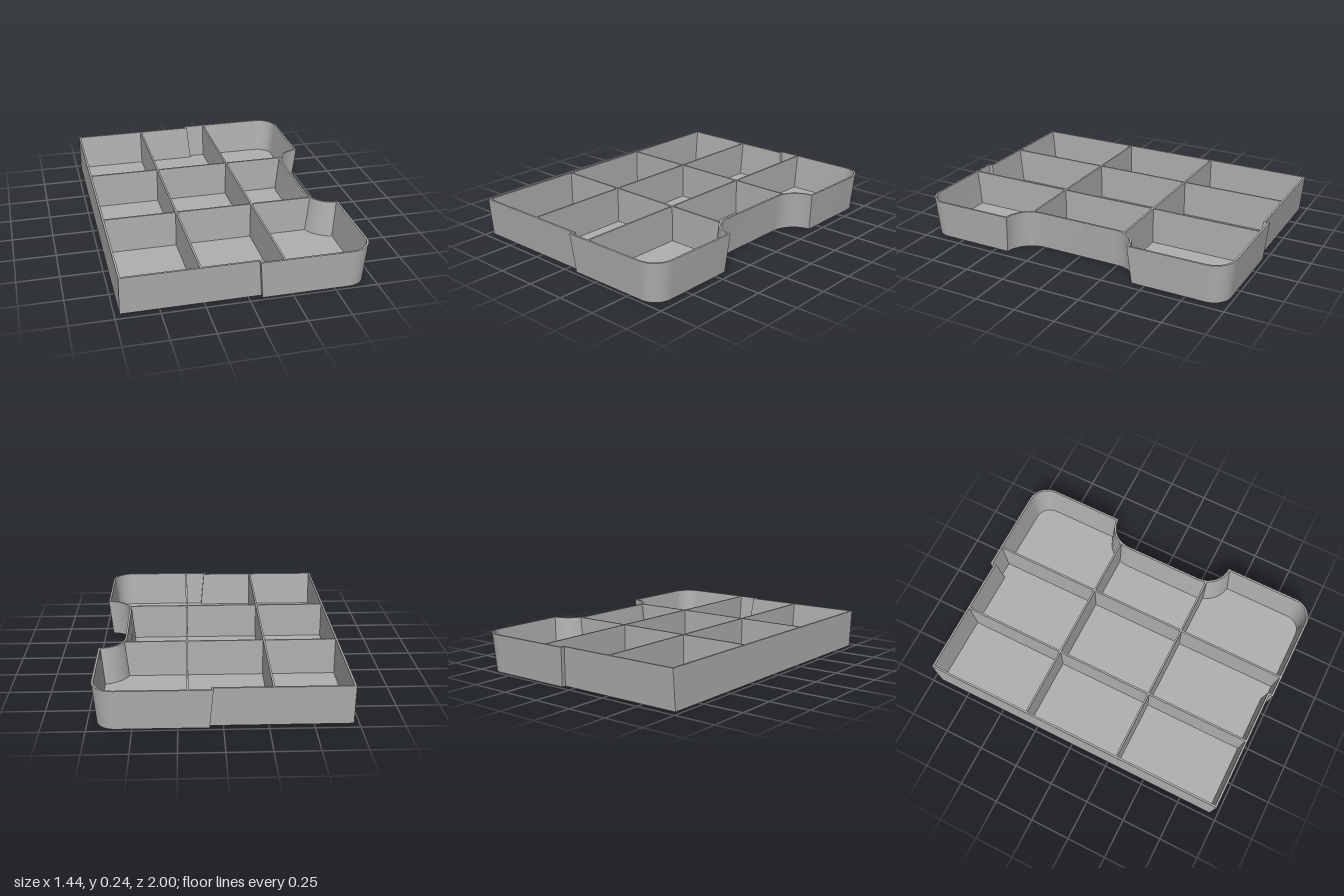
import * as THREE from 'three';
import { toCreasedNormals } from 'three/addons/utils/BufferGeometryUtils.js';

const HEIGHT = 0.237, FLOOR = 0.012, DRAFT = 0.021, WALL = 0.012;

// Plan outline (x, -z), counter-clockwise, inset by d; the left edge is inset by leftInset
function outline(d, leftInset) {
  const half = [
    [-0.72 + leftInset, -0.975 + d],
    [0.055 + d, -0.975 + d],
    [0.055 + d, -1 + d],
  ];
  const arc = (cx, cy, r, a0, a1, n = 12) => {
    for (let i = 0; i <= n; i++) {
      const a = a0 + (a1 - a0) * i / n;
      half.push([cx + r * Math.cos(a), cy + r * Math.sin(a)]);
    }
  };
  arc(0.59, -0.87, 0.13 - d, -Math.PI / 2, 0); // rounded outer corner
  const R = 0.15 + d;
  arc(0.72, -0.25, R, -Math.PI / 2 - Math.asin(d / R), -Math.PI); // notch corner
  const mirrored = half.map(([x, y]) => [x, -y]).reverse();
  return half.concat(mirrored);
}

// Walls lofted through a list of { pts, y } rings
function loft(rings) {
  const pos = [];
  for (let k = 0; k < rings.length - 1; k++) {
    const lo = rings[k], hi = rings[k + 1], n = lo.pts.length;
    for (let i = 0; i < n; i++) {
      const j = (i + 1) % n;
      const at = (ring, m) => [ring.pts[m][0], ring.y, -ring.pts[m][1]];
      const a = at(lo, i), b = at(lo, j), c = at(hi, j), e = at(hi, i);
      pos.push(...a, ...b, ...c, ...a, ...c, ...e);
    }
  }
  const geo = new THREE.BufferGeometry();
  geo.setAttribute('position', new THREE.Float32BufferAttribute(pos, 3));
  return toCreasedNormals(geo, 0.5);
}

function flat(pts, y, up) {
  const shape = new THREE.Shape(pts.map(([x, v]) => new THREE.Vector2(x, v)));
  return new THREE.ShapeGeometry(shape)
    .rotateX(up ? -Math.PI / 2 : Math.PI / 2).translate(0, y, 0);
}

// Upright divider plate whose ends follow the sloping walls
function plate(bottom0, bottom1, top0, top1) {
  const t = 0.011;
  const shape = new THREE.Shape([
    new THREE.Vector2(bottom0, 0.006), new THREE.Vector2(bottom1, 0.006),
    new THREE.Vector2(top1, HEIGHT - 0.001), new THREE.Vector2(top0, HEIGHT - 0.001),
  ]);
  return new THREE.ExtrudeGeometry(shape, { depth: t, bevelEnabled: false }).translate(0, 0, -t / 2);
}

export function createModel() {
  const tray = new THREE.Group();
  tray.name = 'compartmentTray';
  const grey = new THREE.MeshStandardMaterial({ color: 0xb0b0b0 });
  grey.name = 'plain grey';
  const add = (name, geo) => {
    const mesh = new THREE.Mesh(geo, grey);
    mesh.name = name;
    tray.add(mesh);
    return mesh;
  };

  const outerBottom = outline(DRAFT, 0);
  const innerBottom = outline(DRAFT + WALL, WALL);

  // Tapered outer wall, rim and inner wall
  add('walls', loft([
    { pts: outerBottom, y: 0 },
    { pts: outline(0, 0), y: HEIGHT },
    { pts: outline(WALL, WALL), y: HEIGHT },
    { pts: innerBottom, y: FLOOR },
  ]));
  add('floor', flat(innerBottom, FLOOR, true));
  add('underside', flat(outerBottom, 0, false));

  // Dividers running left to right, ending at the notch
  for (const z of [-0.308, 0.308]) {
    add('longDivider', plate(-0.714, 0.552, -0.714, 0.574)).position.z = z;
  }
  // Dividers running front to back
  for (const [x, end] of [[-0.272, 0.97], [0.195, 0.994]]) {
    const divider = add('crossDivider', plate(-end + 0.02, end - 0.02, -end, end));
    divider.rotation.y = Math.PI / 2;
    divider.position.x = x;
  }
  return tray;
}
